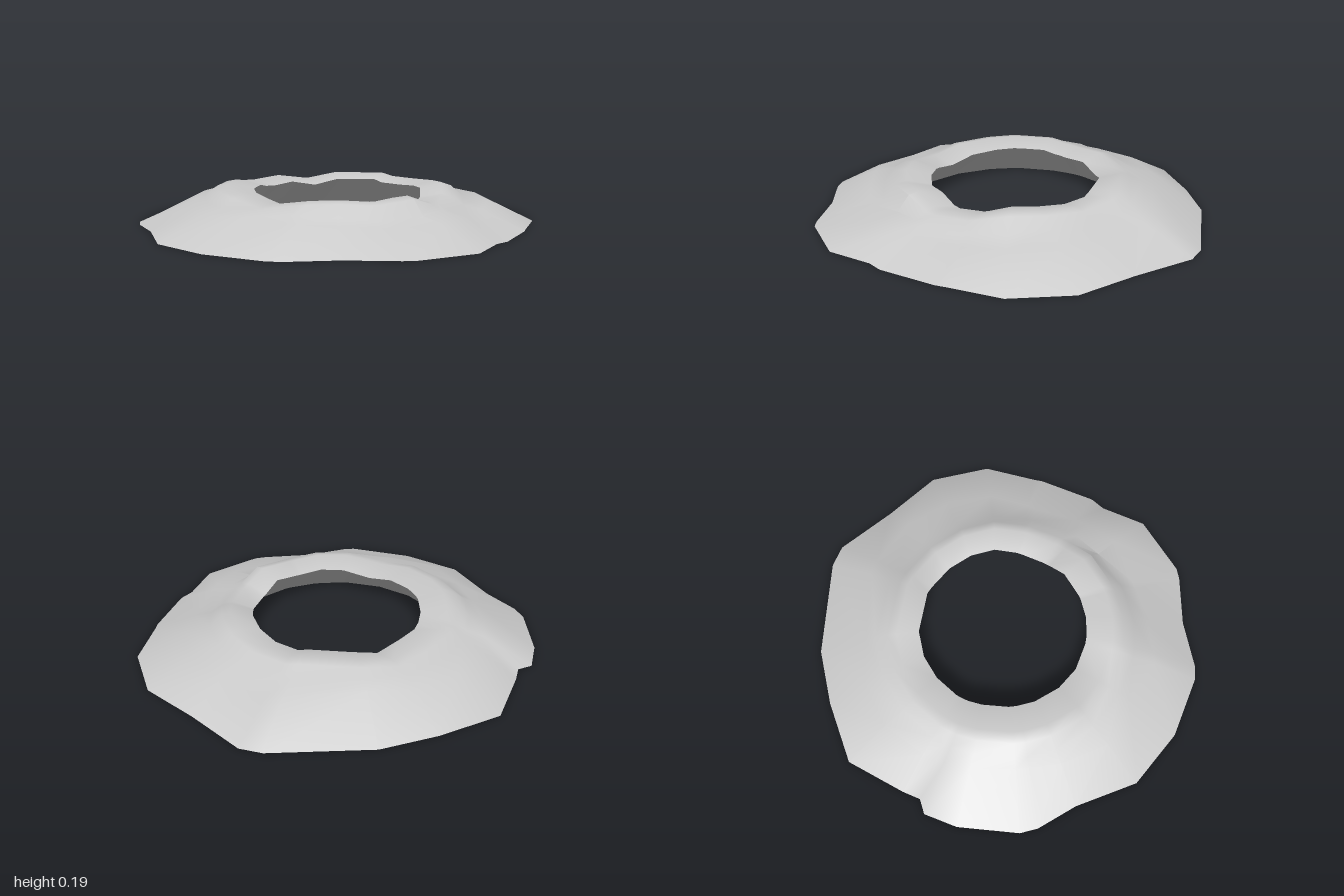
import * as THREE from 'three';
import { toCreasedNormals } from 'three/addons/utils/BufferGeometryUtils.js';

// One row per radial section, from the back round by the left side:
// foot x, foot z, terrace radius, terrace height, crest height
const SECTIONS = [
  [0.02, -1, 0.76, 0.12, 0.185], [0.32, -0.89, 0.74, 0.12, 0.16], [0.57, -0.76, 0.70, 0.13, 0.19],
  [0.92, -0.42, 0.76, 0.125, 0.195], [0.97, -0.32, 0.78, 0.105, 0.18], [0.96, 0, 0.79, 0.115, 0.18],
  [0.97, 0.31, 0.79, 0.115, 0.19], [0.83, 0.58, 0.78, 0.11, 0.195], [0.61, 0.73, 0.74, 0.09, 0.165],
  [0.57, 0.76, 0.73, 0.085, 0.16], [0.31, 0.89, 0.74, 0.095, 0.15], [0.23, 0.90, 0.75, 0.10, 0.155],
  [0.02, 1, 0.77, 0.095, 0.195], [-0.29, 0.95, 0.72, 0.085, 0.18], [-0.34, 0.92, 0.715, 0.09, 0.18],
  [-0.53, 0.76, 0.72, 0.105, 0.19], [-0.74, 0.64, 0.75, 0.115, 0.185], [-0.79, 0.59, 0.76, 0.115, 0.18],
  [-0.93, 0.31, 0.70, 0.12, 0.155], [-0.98, 0, 0.76, 0.11, 0.18], [-0.87, -0.30, 0.72, 0.11, 0.19],
  [-0.83, -0.51, 0.70, 0.115, 0.195], [-0.79, -0.59, 0.70, 0.125, 0.195], [-0.57, -0.80, 0.72, 0.13, 0.195],
  [-0.42, -0.88, 0.74, 0.12, 0.18], [-0.35, -0.85, 0.735, 0.115, 0.18], [-0.27, -0.89, 0.74, 0.115, 0.175],
];

// Cross-section of the bank as [radius, height, x shift], from the outer foot over the crest to the inner foot
function profile([x, z, terraceR, terraceH, crestH]) {
  return [
    [Math.hypot(x, z), 0, 0],
    [terraceR, terraceH, 0],
    [0.65, terraceH + 0.02, 0],
    [0.59, crestH - 0.01, 0],
    [0.54, crestH, 0.005],
    [0.42, crestH - 0.025, 0.02],
    [0.575, 0, 0.02],
  ];
}

export function createModel() {
  const positions = [];
  const index = [];
  const rings = 7;
  const count = SECTIONS.length;

  SECTIONS.forEach((section, i) => {
    const length = Math.hypot(section[0], section[1]);
    for (const [r, y, shift] of profile(section)) {
      positions.push((section[0] / length) * r + shift, y, (section[1] / length) * r);
    }
    // Join this section to the next one
    const next = (i + 1) % count;
    for (let j = 0; j < rings - 1; j++) {
      const a = i * rings + j;
      const b = next * rings + j;
      index.push(a, a + 1, b, b, a + 1, b + 1);
    }
  });

  const geometry = new THREE.BufferGeometry();
  geometry.setAttribute('position', new THREE.Float32BufferAttribute(positions, 3));
  geometry.setIndex(index);

  // Open ring of rock: terraced outside, overhanging lip inside
  const material = new THREE.MeshStandardMaterial({ color: 0xcccccc, side: THREE.DoubleSide });
  const rim = new THREE.Mesh(toCreasedNormals(geometry, 0.7), material);
  rim.name = 'craterRim';

  const group = new THREE.Group();
  group.name = 'crater';
  group.add(rim);
  return group;
}
